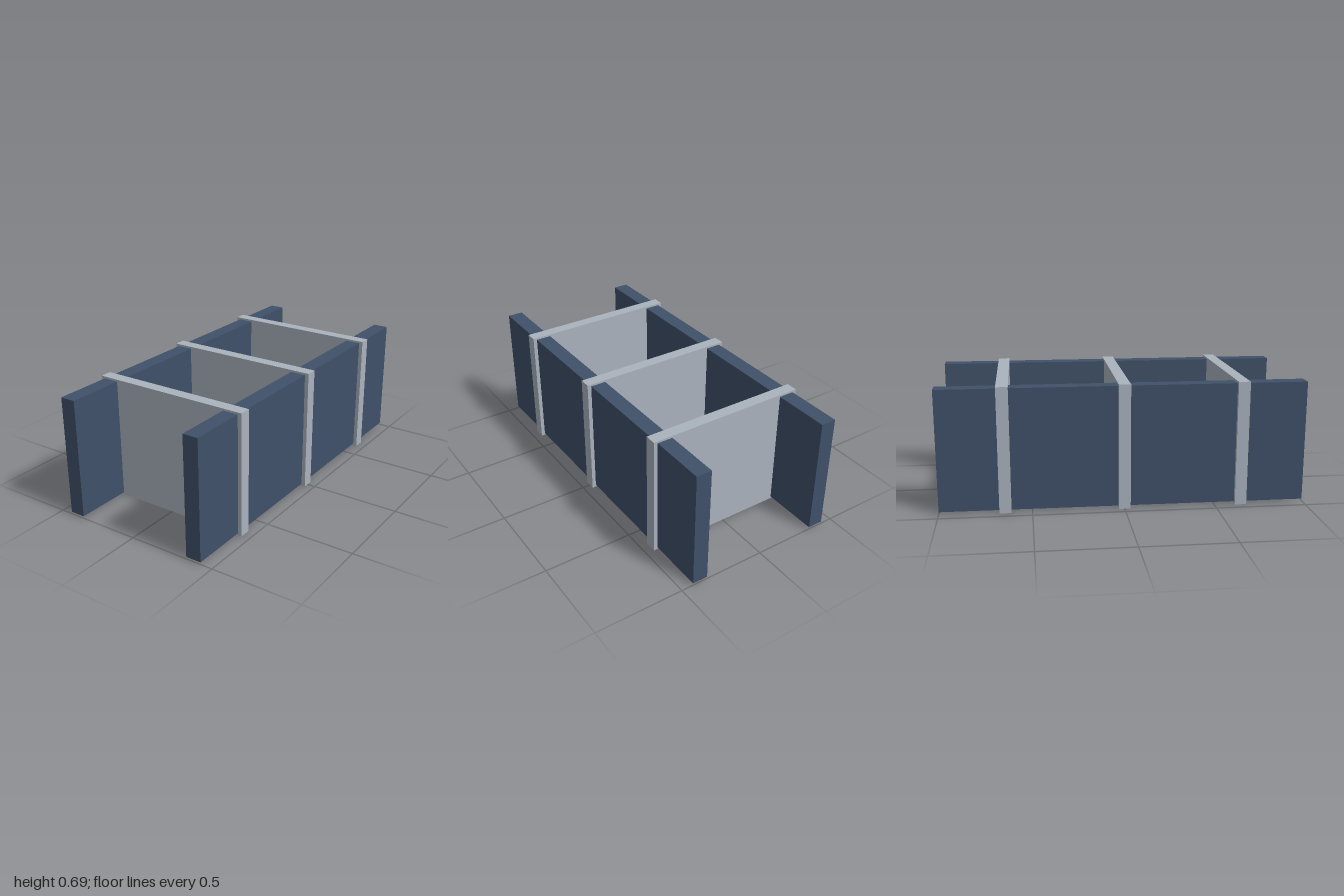
import * as THREE from 'three';

export function createModel() {
  const group = new THREE.Group();
  const wallMaterial = new THREE.MeshStandardMaterial({ color: 0x3f5068 });
  const plateMaterial = new THREE.MeshStandardMaterial({ color: 0xaab2bd });

  const addBox = (name, size, position, material) => {
    const mesh = new THREE.Mesh(new THREE.BoxGeometry(...size), material);
    mesh.name = name;
    mesh.position.set(...position);
    group.add(mesh);
  };

  // Two long side walls, raised slightly off the ground
  for (const [name, side] of [['leftWall', 1], ['rightWall', -1]]) {
    addBox(name, [0.087, 0.667, 2], [side * 0.3885, 0.3455, 0], wallMaterial);
  }

  // Three cross plates that pass through the walls and stand proud of them
  for (const [name, z] of [['frontPlate', 0.645], ['middlePlate', 0], ['backPlate', -0.645]]) {
    addBox(name, [0.908, 0.69, 0.065], [0, 0.345, z], plateMaterial);
  }

  return group;
}
